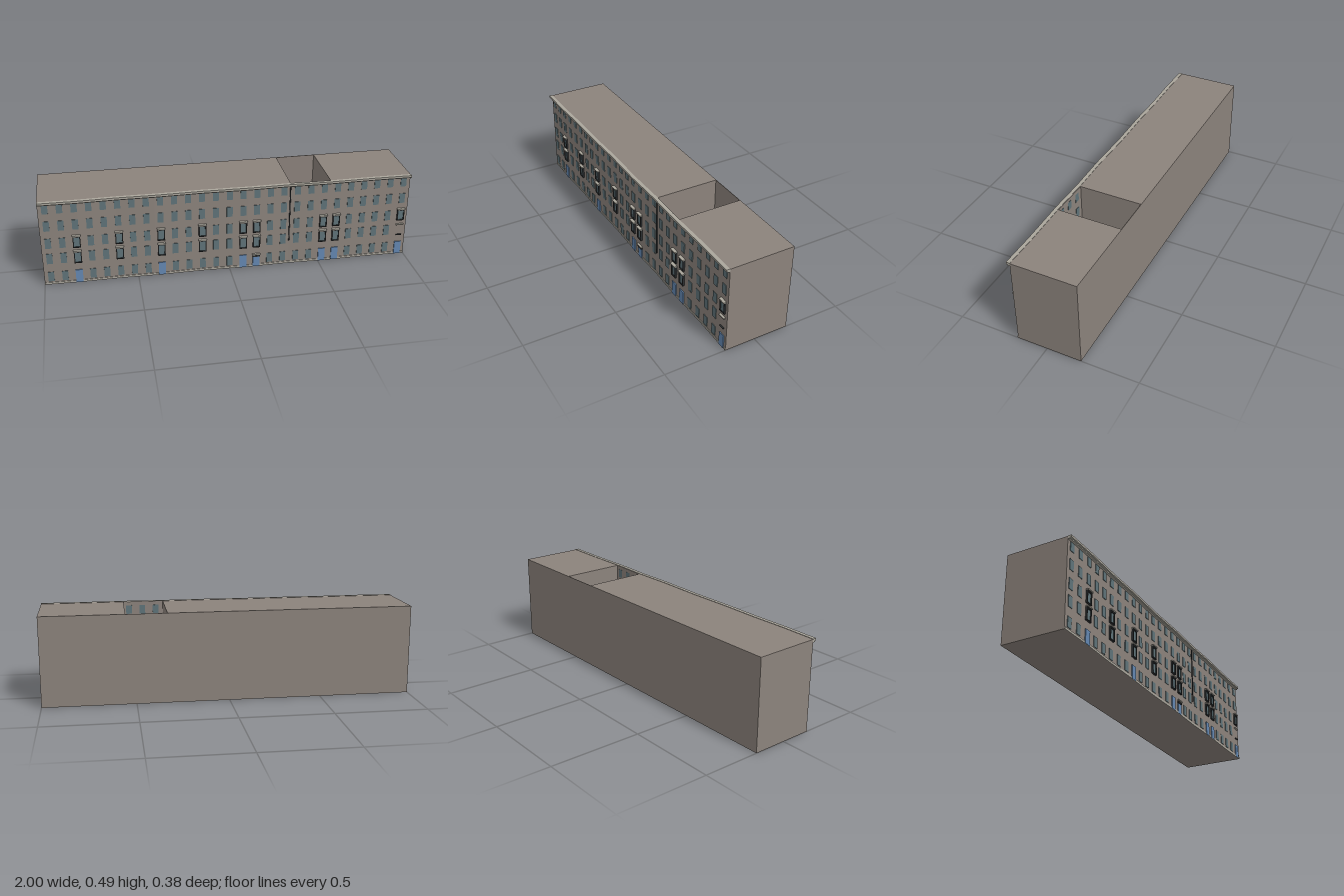
import * as THREE from 'three';

const paint = (name, color) => {
  const m = new THREE.MeshStandardMaterial({ color });
  m.name = name;
  return m;
};

// Gently kinked facade line as [x, z]
const FACADE = [[-1, 0.165], [-0.8, 0.168], [-0.6, 0.164], [-0.4, 0.167], [-0.15, 0.163], [0.1, 0.168],
  [0.33, 0.164], [0.49, 0.168], [0.55, 0.168], [0.8, 0.164], [1, 0.166]];

function frontZ(x) {
  for (let i = 1; i < FACADE.length; i++) {
    const [x0, z0] = FACADE[i - 1], [x1, z1] = FACADE[i];
    if (x <= x1) return z0 + (z1 - z0) * (x - x0) / (x1 - x0);
  }
  return FACADE[FACADE.length - 1][1];
}
const backZ = (x) => -0.186 - 0.003 * x;

export function createModel() {
  const group = new THREE.Group();
  const wall = paint('wall stone', 0x8c837c);
  const glass = paint('window glass', 0x5f7379);
  const blue = paint('door blue', 0x6488b2);
  const dark = paint('dark frame', 0x2b2e30);
  const trim = paint('pale trim', 0xaaa69c);

  // Upright prism between two lines in plan, given as functions of x
  function prism(name, x0, x1, front, back, y0, y1, mat) {
    const xs = [x0, ...FACADE.map((p) => p[0]).filter((x) => x > x0 && x < x1), x1];
    const pts = [...xs.map((x) => [x, front(x)]), ...xs.reverse().map((x) => [x, back(x)])];
    const shape = new THREE.Shape(pts.map(([x, z]) => new THREE.Vector2(x, -z)));
    const geo = new THREE.ExtrudeGeometry(shape, { depth: y1 - y0, bevelEnabled: false });
    geo.rotateX(-Math.PI / 2).translate(0, y0, 0);
    const mesh = new THREE.Mesh(geo, mat);
    mesh.name = name;
    group.add(mesh);
  }

  // Box fixed to the facade, standing out by d
  function plate(name, x, y, w, h, d, mat) {
    const mesh = new THREE.Mesh(new THREE.BoxGeometry(w, h, d + 0.004), mat);
    mesh.position.set(x, y, frontZ(x) + d / 2 - 0.002);
    mesh.name = name;
    group.add(mesh);
  }

  // Main blocks, with an open shaft between them
  const top = 0.488, s0 = 0.33, s1 = 0.55;
  prism('leftBlock', -1, s0, frontZ, backZ, 0, top, wall);
  prism('rightBlock', s1, 1, frontZ, backZ, 0, top, wall);
  prism('shaftFrontWall', s0, s1, frontZ, (x) => frontZ(x) - 0.003, 0, top, wall);
  prism('shaftBackWall', s0, s1, (x) => backZ(x) + 0.003, backZ, 0, top, wall);
  prism('shaftFloor', s0, s1, (x) => frontZ(x) - 0.003, (x) => backZ(x) + 0.003, 0, 0.004, wall);

  // Cornice and plinth
  prism('cornice', -1, 1, (x) => frontZ(x) + 0.02, frontZ, 0.478, 0.49, trim);
  prism('corniceUnderside', -1, 1, (x) => frontZ(x) + 0.012, frontZ, 0.472, 0.478, trim);
  prism('plinth', -1, 1, (x) => frontZ(x) + 0.003, frontZ, 0, 0.012, trim);

  // Windows, framed bays and doors: 27 columns, five rows from the top down
  const rows = [[0.444, 0.048], [0.348, 0.057], [0.246, 0.058], [0.155, 0.06], [0.047, 0.056]];
  const framed = [2, 5, 8, 11, 14, 15, 20, 21, 26];
  const doors = [2, 8, 14, 15, 20, 21, 26];
  for (let c = 0; c < 27; c++) {
    const x = (c - 13) * 0.0741;
    rows.forEach(([y, h], r) => {
      const ornate = framed.includes(c) && (r === 2 || r === 3);
      if (r === 4 && doors.includes(c)) {
        const dh = c === 15 ? 0.058 : 0.076;
        plate('door', x, dh / 2 + 0.001, 0.038, dh, 0.005, blue);
        if (c === 15) {
          plate('doorLintel', x, 0.066, 0.04, 0.01, 0.008, dark);
          plate('doorCanopy', x, 0.077, 0.044, 0.006, 0.012, trim);
        }
      } else if (c === 26 && r === 3) {
        plate('ledge', x, 0.188, 0.042, 0.005, 0.012, trim);
        plate('ledge', x, 0.122, 0.03, 0.004, 0.008, dark);
      } else if (ornate) {
        // Dark surround with glass, sill and a projecting hood
        for (const s of [-1, 1]) plate('windowJamb', x + s * 0.0175, y, 0.005, h + 0.006, 0.01, dark);
        for (const s of [-1, 1]) plate('windowRail', x, y + s * (h / 2 + 0.001), 0.04, 0.005, 0.01, dark);
        plate('framedGlass', x, y, 0.032, h, 0.005, glass);
        plate('windowHood', x, y + h / 2 + 0.009, 0.044, 0.006, 0.016, trim);
        plate('hoodShadowStrip', x, y + h / 2 + 0.005, 0.04, 0.004, 0.012, dark);
      } else {
        plate('window', x, y, 0.032, h, 0.003, glass);
      }
    });
  }

  // Downpipe
  const pipe = new THREE.Mesh(new THREE.CylinderGeometry(0.003, 0.003, 0.335, 8), dark);
  pipe.position.set(0.33, 0.31, frontZ(0.33) + 0.004);
  pipe.name = 'downpipe';
  group.add(pipe);

  return group;
}
